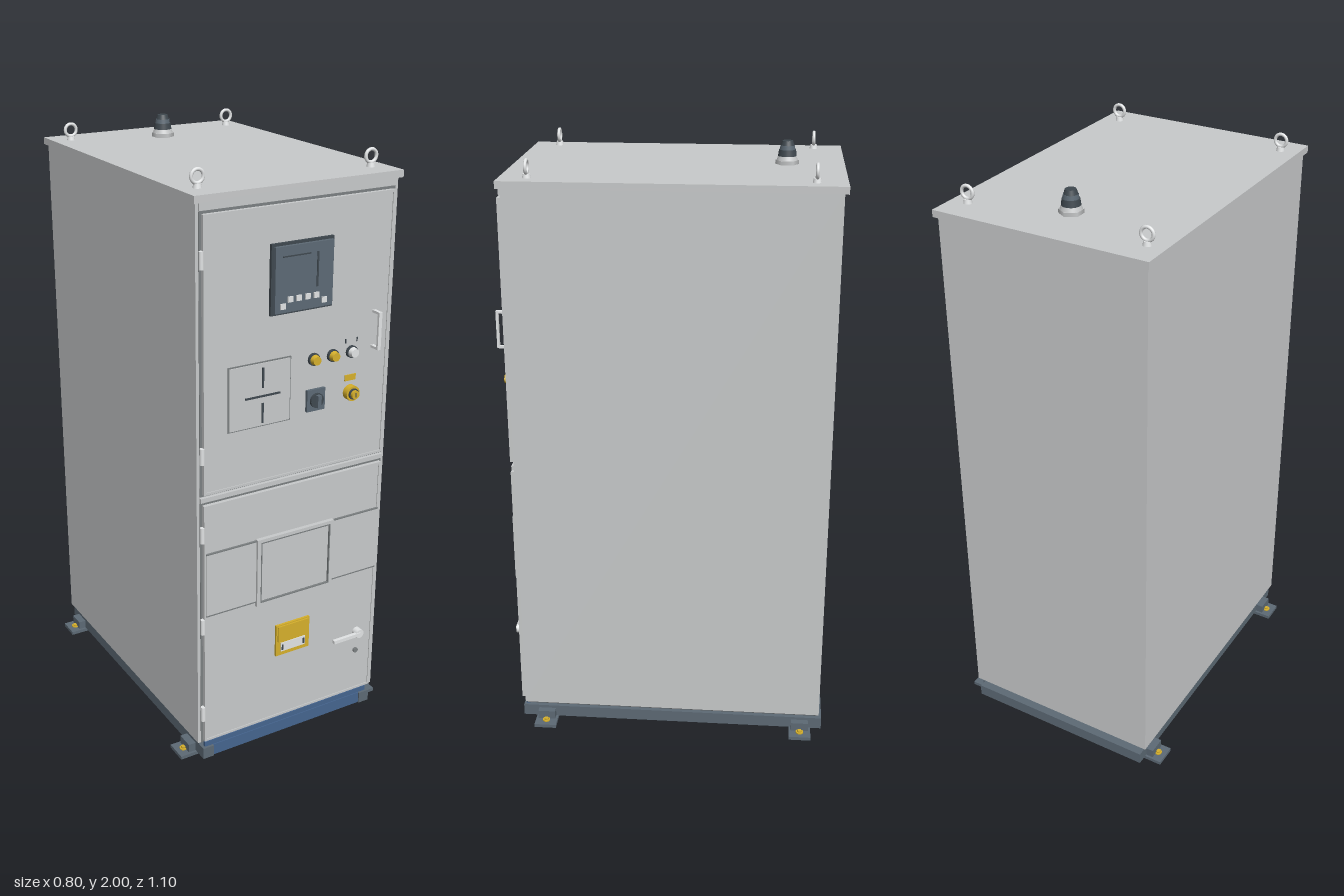
import * as THREE from 'three';

const mat = (name, color, extra = {}) => {
  const m = new THREE.MeshStandardMaterial({ color, ...extra });
  m.name = name;
  return m;
};

export function createModel() {
  const grey = mat('cabinet grey', 0xc8cacb);
  const steel = mat('slate steel', 0x5d6a75);
  const dark = mat('dark slate', 0x3f484f);
  const floorMat = mat('floor charcoal', 0x5f6466);
  const blue = mat('blue', 0x45658f);
  const yellow = mat('yellow', 0xd6b02c);
  const pale = mat('pale grey', 0xe2e4e5);
  const seam = mat('seam grey', 0x7c8082);

  const root = new THREE.Group();
  root.name = 'switchgearCabinet';

  const add = (name, geo, m, x = 0, y = 0, z = 0, parent = root) => {
    const mesh = new THREE.Mesh(geo, m);
    mesh.name = name;
    mesh.position.set(x, y, z);
    parent.add(mesh);
    return mesh;
  };
  // Box given by its limits on each axis
  const box = (name, m, x0, x1, y0, y1, z0, z1, parent = root) =>
    add(name, new THREE.BoxGeometry(x1 - x0, y1 - y0, z1 - z0), m,
      (x0 + x1) / 2, (y0 + y1) / 2, (z0 + z1) / 2, parent);
  // Disc or button whose axis points to the front
  const knob = (name, m, r, x, y, z0, z1, sides = 24, rTip = r) => {
    const g = new THREE.CylinderGeometry(rTip, r, z1 - z0, sides).rotateX(Math.PI / 2);
    return add(name, g, m, x, y, (z0 + z1) / 2);
  };
  // Rectangular frame lying in the front plane
  const frame = (name, m, x0, x1, y0, y1, w, z0, z1) => {
    const s = new THREE.Shape([[x0, y0], [x1, y0], [x1, y1], [x0, y1]].map(p => new THREE.Vector2(...p)));
    s.holes.push(new THREE.Path([[x0 + w, y0 + w], [x0 + w, y1 - w], [x1 - w, y1 - w], [x1 - w, y0 + w]]
      .map(p => new THREE.Vector2(...p))));
    return add(name, new THREE.ExtrudeGeometry(s, { depth: z1 - z0, bevelEnabled: false }), m, 0, 0, z0);
  };

  // Cabinet shell, roof and floor
  box('body', grey, -0.355, 0.355, 0.078, 1.905, -0.535, 0.5);
  box('roof', grey, -0.365, 0.365, 1.903, 1.926, -0.548, 0.513);
  box('floor', floorMat, -0.35, 0.35, 0.072, 0.078, -0.53, 0.495);

  // Front doors, each with a dark seam and a rolled lip
  const doors = [['upperDoor', 0.997, 1.87], ['lowerDoor', 0.087, 0.96]];
  for (const [name, y0, y1] of doors) {
    box(name + 'Seam', seam, -0.345, 0.345, y0 - 0.008, y1 + 0.008, 0.499, 0.502);
    box(name, grey, -0.337, 0.337, y0, y1, 0.5, 0.512);
    frame(name + 'Lip', grey, -0.337, 0.337, y0, y1, 0.008, 0.511, 0.515);
  }
  box('headerStrip', grey, -0.345, 0.345, 1.88, 1.903, 0.499, 0.507);
  box('middleStrip', grey, -0.345, 0.345, 0.971, 0.986, 0.499, 0.51);

  // Hinges
  for (const y of [1.738, 1.128, 0.86, 0.53, 0.197]) {
    add('hinge', new THREE.CylinderGeometry(0.008, 0.008, 0.054, 12), pale, -0.341, y, 0.51);
  }

  // Protection relay with display and buttons
  box('relayBezel', dark, -0.112, 0.11, 1.538, 1.757, 0.51, 0.522);
  box('relayFace', steel, -0.104, 0.102, 1.546, 1.749, 0.52, 0.533);
  box('relayDisplayLine', dark, 0.042, 0.048, 1.612, 1.72, 0.532, 0.535);
  box('relayDisplayTop', dark, -0.08, 0.02, 1.716, 1.72, 0.532, 0.535);
  [-0.077, -0.051, -0.021, 0.011, 0.042, 0.071].forEach((x, i) => {
    const y = i === 0 || i === 5 ? 1.567 : 1.586;
    box('relayButton', pale, x - 0.009, x + 0.009, y - 0.009, y + 0.009, 0.532, 0.537);
  });

  // Mimic diagram plate
  box('mimicPlateEdge', seam, -0.254, -0.03, 1.187, 1.398, 0.511, 0.515);
  box('mimicPlate', grey, -0.25, -0.034, 1.191, 1.394, 0.512, 0.518);
  const bars = [[-0.136, -0.13, 1.315, 1.38], [-0.136, -0.13, 1.2, 1.265], [-0.195, -0.07, 1.285, 1.291]];
  for (const b of bars) box('mimicLine', dark, ...b, 0.517, 0.521);

  // Indicator lamps and their label ticks
  [[0.053, yellow], [0.124, yellow], [0.196, pale]].forEach(([x, m]) => {
    knob('lampCollar', dark, 0.02, x, 1.372, 0.51, 0.522);
    knob('lamp', m, 0.017, x, 1.372, 0.52, 0.537, 24, 0.014);
  });
  for (const x of [0.174, 0.217]) box('lampTick', dark, x - 0.002, x + 0.002, 1.402, 1.416, 0.511, 0.514);

  // Rotary switch
  box('rotarySwitchPlate', steel, 0.029, 0.096, 1.201, 1.273, 0.51, 0.522);
  knob('rotarySwitchDial', dark, 0.024, 0.0625, 1.237, 0.521, 0.53);
  box('rotarySwitchGrip', steel, 0.056, 0.069, 1.217, 1.257, 0.529, 0.543);

  // Key switch
  box('keySwitchLabel', yellow, 0.175, 0.217, 1.275, 1.295, 0.511, 0.515);
  knob('keySwitchCollar', yellow, 0.025, 0.196, 1.236, 0.51, 0.534);
  knob('keySwitchBarrel', dark, 0.018, 0.196, 1.236, 0.533, 0.54);
  knob('keySwitchCap', yellow, 0.014, 0.196, 1.236, 0.539, 0.549);
  box('keySlot', dark, 0.194, 0.198, 1.228, 1.244, 0.546, 0.5495);

  // Upper door pull handle
  box('pullHandleGrip', pale, 0.272, 0.284, 1.372, 1.496, 0.541, 0.549);
  for (const y of [1.372, 1.488]) box('pullHandleLeg', pale, 0.272, 0.284, y, y + 0.008, 0.51, 0.545);

  // Raised band and inspection window on the lower door
  for (const s of [-1, 1]) {
    const a = s * 0.146, b = s * 0.332;
    box('bandPanel', grey, Math.min(a, b), Math.max(a, b), 0.57, 0.79, 0.511, 0.518);
    for (const y of [0.567, 0.789]) {
      box('bandEdge', seam, Math.min(a, b), Math.max(a, b), y, y + 0.004, 0.511, 0.519);
    }
  }
  box('windowCover', grey, -0.132, 0.132, 0.57, 0.787, 0.511, 0.52);
  frame('windowFrame', grey, -0.147, 0.147, 0.553, 0.797, 0.014, 0.511, 0.526);
  frame('windowSeam', seam, -0.134, 0.134, 0.565, 0.786, 0.004, 0.519, 0.5265);

  // Yellow plate with pale insert
  box('warningPlate', yellow, -0.066, 0.066, 0.335, 0.452, 0.51, 0.52);
  box('warningPlateUpper', yellow, -0.06, 0.06, 0.39, 0.448, 0.519, 0.525);
  box('warningPlateInsert', pale, -0.048, 0.048, 0.35, 0.383, 0.519, 0.523);
  for (const x of [-0.042, 0.042]) box('insertTick', dark, x - 0.003, x + 0.003, 0.356, 0.376, 0.522, 0.5245);

  // Lower door lever and lock
  knob('leverPivot', pale, 0.016, 0.27, 0.326, 0.51, 0.536);
  box('lever', pale, 0.16, 0.27, 0.32, 0.332, 0.528, 0.54);
  knob('lock', seam, 0.009, 0.268, 0.251, 0.51, 0.52);

  // Lifting eyes
  for (const x of [-0.305, 0.305]) for (const z of [-0.453, 0.425]) {
    const eye = new THREE.Group();
    eye.name = 'liftingEye';
    eye.position.set(x, 1.925, z);
    add('eyeCollar', new THREE.CylinderGeometry(0.011, 0.014, 0.014, 16), pale, 0, 0.007, 0, eye);
    add('eyeRing', new THREE.TorusGeometry(0.02, 0.0055, 10, 28), pale, 0, 0.035, 0, eye);
    root.add(eye);
  }

  // Cable gland on the roof
  const gland = new THREE.Group();
  gland.name = 'cableGland';
  gland.position.set(0, 1.925, -0.363);
  const rings = [
    ['glandNut', grey, 0.038, 0.038, 0.014, 0.007, 6],
    ['glandCollar', grey, 0.029, 0.034, 0.014, 0.021, 28],
    ['glandBody', dark, 0.027, 0.03, 0.02, 0.037, 28],
    ['glandNeck', steel, 0.023, 0.025, 0.014, 0.053, 28],
    ['glandCap', dark, 0.017, 0.022, 0.016, 0.067, 28],
  ];
  for (const [name, m, rt, rb, h, y, n] of rings) {
    add(name, new THREE.CylinderGeometry(rt, rb, h, n), m, 0, y, 0, gland);
  }
  root.add(gland);

  // Base frame: side rails, end and middle crossbars, blue front beam
  for (const s of [-1, 1]) {
    box('sideRail', steel, s * 0.32 - 0.02, s * 0.32 + 0.02, 0.014, 0.055, -0.545, 0.51);
  }
  box('rearCrossbar', steel, -0.3, 0.3, 0.014, 0.055, -0.545, -0.505);
  box('middleCrossbar', steel, -0.3, 0.3, 0.02, 0.055, -0.025, 0.015);
  box('frontCrossbar', steel, -0.3, 0.3, 0.014, 0.055, 0.45, 0.485);
  box('frontBeam', blue, -0.3, 0.3, 0.014, 0.055, 0.484, 0.505);
  box('frontBeamTop', blue, -0.33, 0.33, 0.055, 0.073, 0.49, 0.502);

  // Anchor feet with bolts
  for (const s of [-1, 1]) for (const z of [-0.47, 0.425]) {
    const foot = new THREE.Group();
    foot.name = 'anchorFoot';
    foot.position.set(s * 0.35, 0, z);
    box('footPlate', steel, -0.05, 0.05, 0.003, 0.015, -0.038, 0.038, foot);
    box('footClamp', steel, -0.016, 0.012, 0.015, 0.045, -0.03, 0.03, foot);
    add('footWasher', new THREE.CylinderGeometry(0.013, 0.013, 0.004, 20), yellow, s * 0.021, 0.017, 0, foot);
    add('footBolt', new THREE.CylinderGeometry(0.008, 0.008, 0.024, 6), yellow, s * 0.021, 0.012, 0, foot);
    root.add(foot);
  }
  return root;
}
